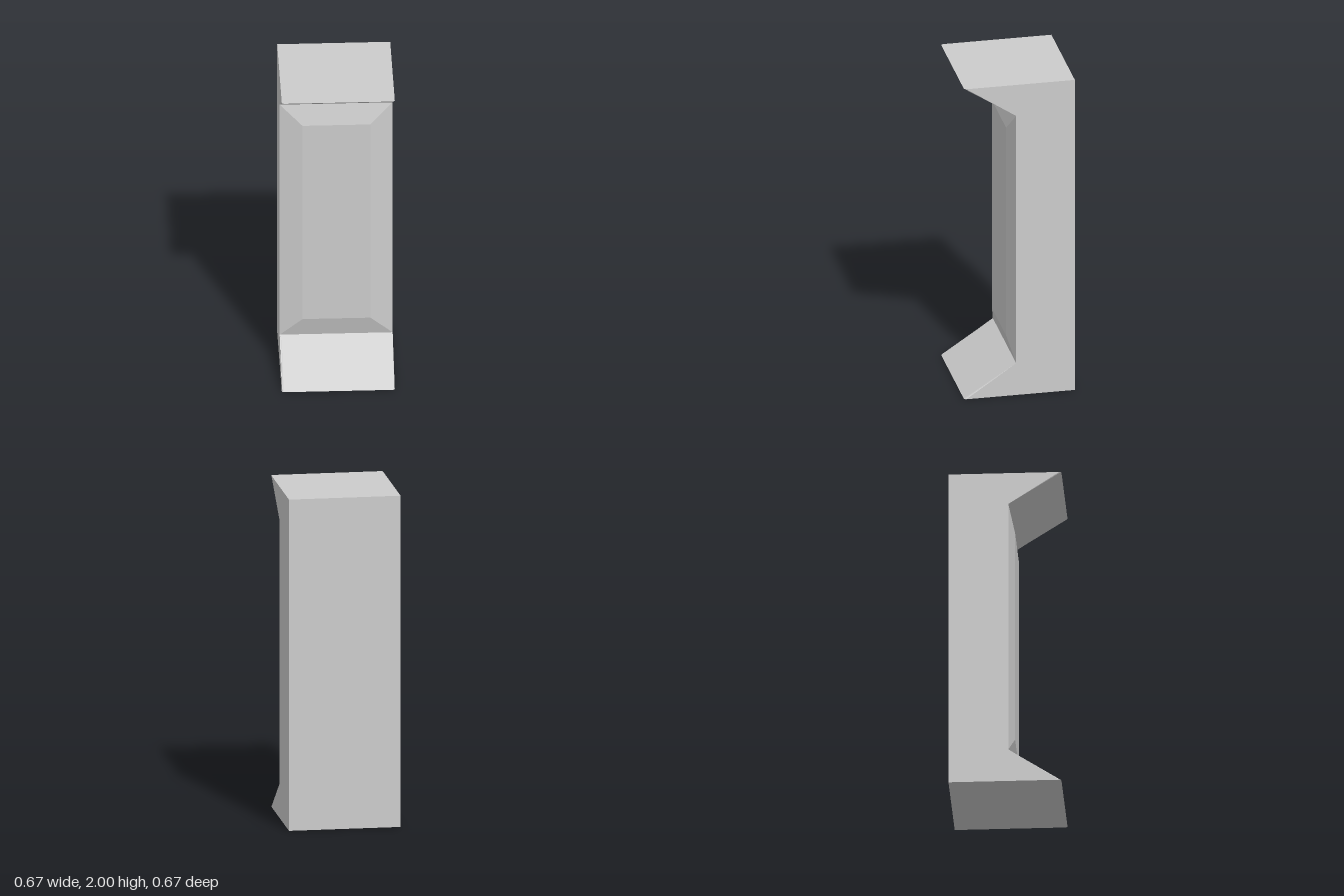
import * as THREE from 'three';

const HALF = 0.333, WAIST_LOW = 0.205, WAIST_HIGH = 1.8, WAIST_Z = 0.02;

// Side profile as [z, y]; reach is how far the top and bottom lips project
const profile = (reach) => [
  [-HALF, 0], [reach, 0], [WAIST_Z, WAIST_LOW], [WAIST_Z, WAIST_HIGH],
  [reach, 2], [-HALF, 2], [-HALF, WAIST_HIGH], [-HALF, WAIST_LOW],
];

// Block lofted across x, with the lip corners slightly rounded
function bodyGeometry() {
  const stations = [[-0.333, 0.32], [-0.33, 0.329], [-0.322, 0.333],
    [0.322, 0.333], [0.33, 0.329], [0.333, 0.32]];
  const rings = stations.map(([x, reach]) =>
    profile(reach).map(([z, y]) => new THREE.Vector3(x, y, z)));
  const points = [];
  const quad = (a, b, c, d) => points.push(a, b, c, a, c, d);
  for (let i = 0; i < rings.length - 1; i++) {
    const p = rings[i], q = rings[i + 1];
    for (let k = 0; k < 8; k++) {
      const n = (k + 1) % 8;
      quad(p[k], q[k], q[n], p[n]);
    }
  }
  // Side walls: lower wedge, middle and upper wedge
  const left = rings[rings.length - 1], right = rings[0];
  for (const [a, b, c, d] of [[0, 1, 2, 7], [7, 2, 3, 6], [6, 3, 4, 5]]) {
    quad(right[a], right[b], right[c], right[d]);
    quad(left[d], left[c], left[b], left[a]);
  }
  const geometry = new THREE.BufferGeometry().setFromPoints(points);
  geometry.computeVertexNormals();
  return geometry;
}

// Raised panel: a shallow box whose front face is drawn in to form bevels
function panelGeometry() {
  const geometry = new THREE.BoxGeometry(2, 2, 1);
  const pos = geometry.attributes.position;
  for (let i = 0; i < pos.count; i++) {
    const sx = pos.getX(i), sy = pos.getY(i);
    if (pos.getZ(i) > 0) pos.setXYZ(i, sx * 0.2, 1 + sy * 0.67, 0.053);
    else pos.setXYZ(i, sx * HALF, sy > 0 ? WAIST_HIGH : WAIST_LOW, WAIST_Z);
  }
  geometry.computeVertexNormals();
  return geometry;
}

export function createModel() {
  const group = new THREE.Group();
  group.name = 'pillar';
  const stone = new THREE.MeshStandardMaterial({ color: 0xcccccc });
  stone.name = 'light grey';

  const body = new THREE.Mesh(bodyGeometry(), stone);
  body.name = 'body';
  const panel = new THREE.Mesh(panelGeometry(), stone);
  panel.name = 'frontPanel';
  group.add(body, panel);
  return group;
}
